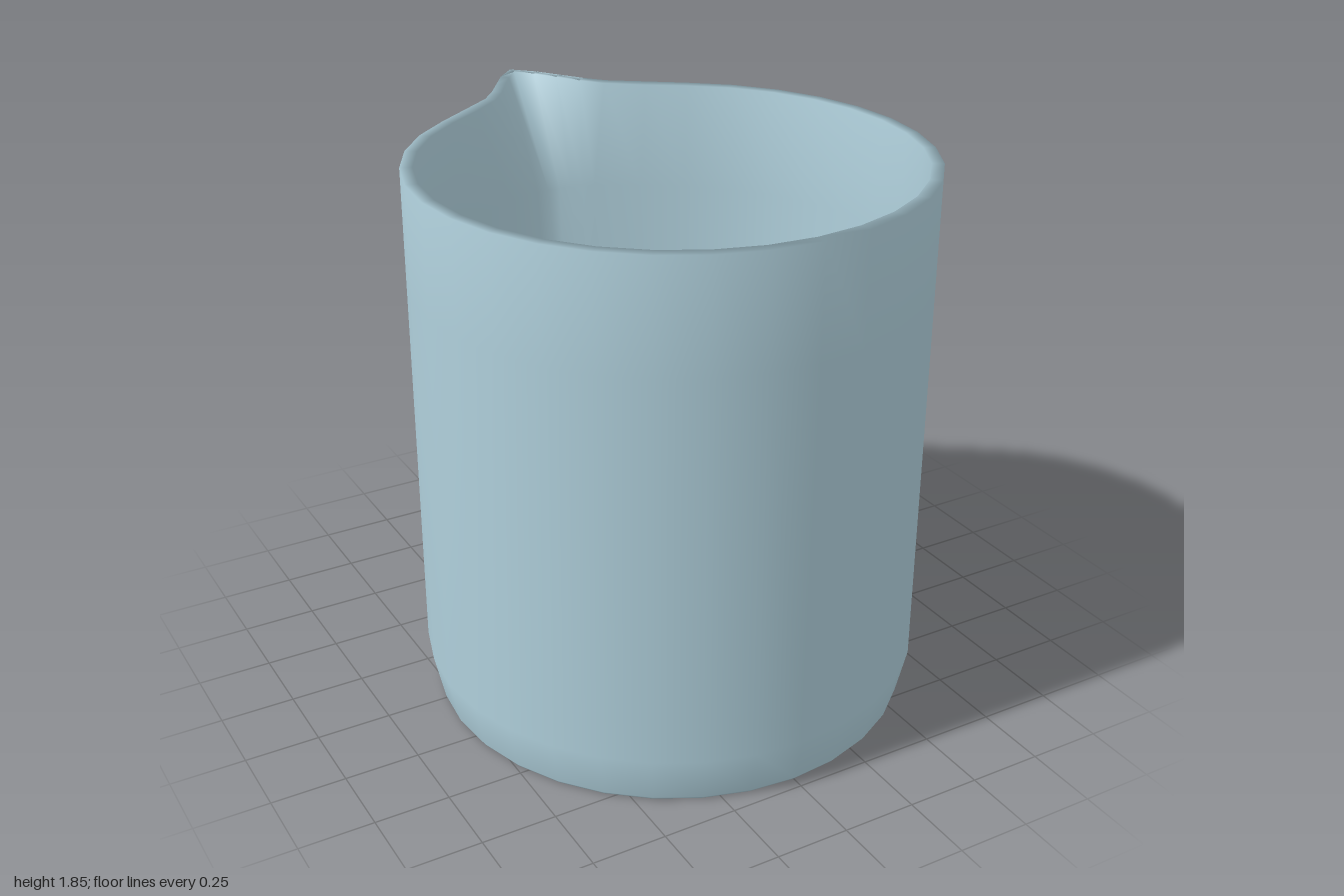
import * as THREE from 'three';

const CZ = 0.16; // axis of the round body
const SPAN = 33.75; // half angle of the pouring lip, in degrees
const rad = THREE.MathUtils.degToRad;

// Half outlines of the lip at the rim, from the tip to the round wall: angle, outer x, z, inner x, z
const lip = [
  [0, 0, -1, 0, -0.965],
  [2.8, 0.07, -0.93, 0.05, -0.905],
  [5.6, 0.125, -0.85, 0.1, -0.83],
  [8.4, 0.18, -0.77, 0.15, -0.75],
  [11.25, 0.235, -0.705, 0.21, -0.675],
  [22.5, 0.35, -0.622, 0.325, -0.585],
];

// Angles around the wall, measured from the back, finer at the lip
const half = lip.map((p) => p[0]);
for (let a = SPAN; a < 180; a += 11.25) half.push(a);
const angles = [...half, 180, ...half.slice(1).reverse().map((a) => -a)];

// Point on a round ring, optionally bulging toward the lip
function roundPoint(a, r, bulge = 0) {
  const t = Math.min(Math.abs(a) / SPAN, 1);
  const q = r + bulge * Math.cos((t * Math.PI) / 2) ** 2;
  return [q * Math.sin(rad(a)), CZ - q * Math.cos(rad(a))];
}

// Point on the rim, following the lip outline at the back
function rimPoint(a, r, column) {
  const p = lip.find((q) => q[0] === Math.abs(a));
  return p ? [Math.sign(a) * p[column], p[column + 1]] : roundPoint(a, r);
}

function beakerGeometry() {
  // Cross-sections: under the base, up the outside, over the rim, down the inside
  const rings = [
    [0, (a) => roundPoint(a, 0)],
    [0, (a) => roundPoint(a, 0.797)],
    [0.01, (a) => roundPoint(a, 0.805)],
    [0.17, (a) => roundPoint(a, 0.84)],
    [1.48, (a) => roundPoint(a, 0.84, 0.07)],
    [1.85, (a) => rimPoint(a, 0.84, 1)],
    [1.85, (a) => rimPoint(a, 0.8, 3)],
    [1.48, (a) => roundPoint(a, 0.8, 0.07)],
    [0.18, (a) => roundPoint(a, 0.8)],
    [0.04, (a) => roundPoint(a, 0.765)],
    [0.04, (a) => roundPoint(a, 0)],
  ];
  const n = angles.length;
  const positions = [];
  const index = [];
  for (const [y, point] of rings) {
    for (const a of angles) {
      const [x, z] = point(a);
      positions.push(x, y, z);
    }
  }
  for (let j = 0; j < rings.length - 1; j++) {
    for (let i = 0; i < n; i++) {
      const k = (i + 1) % n;
      const a = j * n + i, b = j * n + k, c = a + n, d = b + n;
      if (j < rings.length - 2) index.push(a, c, d);
      if (j > 0) index.push(a, d, b);
    }
  }
  // Close the inner floor to its centre
  const last = rings.length - 2;
  for (let i = 0; i < n; i++) {
    index.push(last * n + i, (last + 1) * n + i, last * n + ((i + 1) % n));
  }
  const geometry = new THREE.BufferGeometry();
  geometry.setAttribute('position', new THREE.Float32BufferAttribute(positions, 3));
  geometry.setIndex(index);
  geometry.computeVertexNormals();
  return geometry;
}

export function createModel() {
  const group = new THREE.Group();
  group.name = 'beaker';
  const glaze = new THREE.MeshStandardMaterial({ color: 0xb0d0dc });
  const body = new THREE.Mesh(beakerGeometry(), glaze);
  body.name = 'beakerBody';
  group.add(body);
  return group;
}
